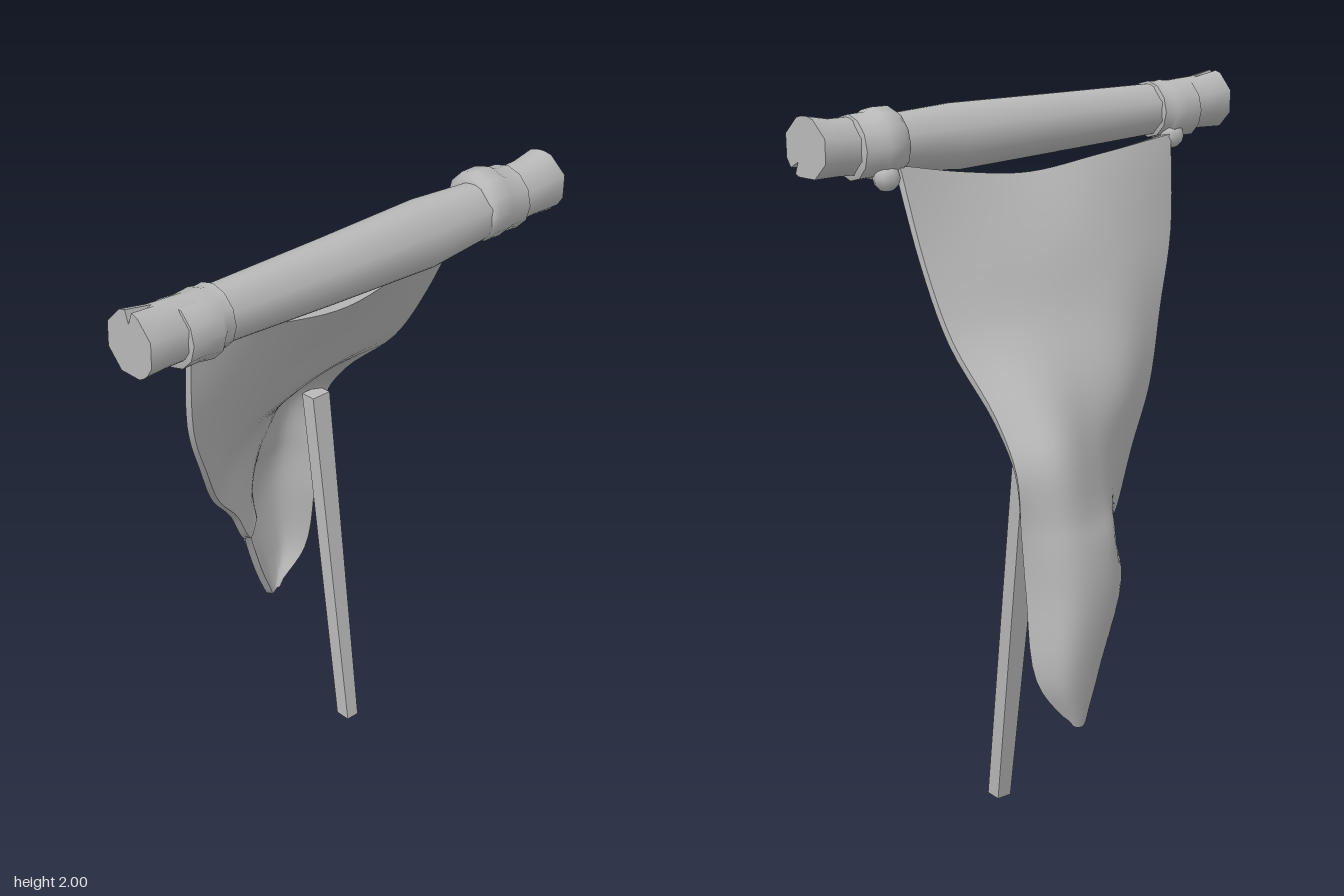
import * as THREE from 'three';
import { toCreasedNormals } from 'three/addons/utils/BufferGeometryUtils.js';

const grey = new THREE.MeshStandardMaterial({ color: 0xb8b8b8 });
grey.name = 'plain grey';

function part(name, geometry) {
  const mesh = new THREE.Mesh(geometry, grey);
  mesh.name = name;
  return mesh;
}

function build(points, index, crease) {
  const g = new THREE.BufferGeometry().setFromPoints(points);
  g.setIndex(index);
  return toCreasedNormals(g, crease);
}

const quad = (index, a, b, c, d) => index.push(a, b, c, a, c, d);

// Solid along x from rings [x, y, z, radius, lean along z, notch angle]
function ringSolid(rings, angles, crease) {
  const points = [], index = [], n = angles.length;
  for (const [x, y, z, r, lean = 0, notch = null] of rings) {
    for (const a of angles) {
      const rad = THREE.MathUtils.degToRad(a), k = a === notch ? r * 0.6 : r;
      points.push(new THREE.Vector3(x + lean * Math.cos(rad) * k, y + Math.sin(rad) * k, z + Math.cos(rad) * k));
    }
  }
  for (let s = 0; s < rings.length - 1; s++) {
    for (let i = 0; i < n; i++) {
      const j = (i + 1) % n;
      quad(index, s * n + i, (s + 1) * n + i, (s + 1) * n + j, s * n + j);
    }
  }
  const last = rings.length - 1, c = points.length;
  for (const s of [0, last]) points.push(new THREE.Vector3(rings[s][0], rings[s][1], rings[s][2]));
  for (let i = 0; i < n; i++) {
    const j = (i + 1) % n;
    index.push(c, i, j, c + 1, last * n + j, last * n + i);
  }
  return build(points, index, crease);
}

// Thick sheet lofted across rails that run from its top to its bottom
function sheet(rails, rows, cols, half) {
  const curves = rails.map(r => new THREE.CatmullRomCurve3(r.map(p => new THREE.Vector3(...p))));
  const across = [];
  for (let i = 0; i <= rows; i++) across.push(new THREE.CatmullRomCurve3(curves.map(c => c.getPoint(i / rows))));
  const grid = across.map(c => Array.from({ length: cols + 1 }, (_, j) => c.getPoint(j / cols)));
  const front = [], back = [], index = [], w = cols + 1, total = (rows + 1) * w;
  for (let i = 0; i <= rows; i++) {
    for (let j = 0; j <= cols; j++) {
      const down = grid[Math.min(i + 1, rows)][j].clone().sub(grid[Math.max(i - 1, 0)][j]);
      const side = grid[i][Math.min(j + 1, cols)].clone().sub(grid[i][Math.max(j - 1, 0)]);
      const normal = down.cross(side).normalize().multiplyScalar(half);
      front.push(grid[i][j].clone().add(normal));
      back.push(grid[i][j].clone().sub(normal));
    }
  }
  const F = (i, j) => i * w + j, B = (i, j) => total + i * w + j;
  for (let i = 0; i < rows; i++) {
    for (let j = 0; j < cols; j++) {
      quad(index, F(i, j), F(i + 1, j), F(i + 1, j + 1), F(i, j + 1));
      quad(index, B(i, j), B(i, j + 1), B(i + 1, j + 1), B(i + 1, j));
    }
    quad(index, F(i, 0), B(i, 0), B(i + 1, 0), F(i + 1, 0));
    quad(index, F(i, cols), F(i + 1, cols), B(i + 1, cols), B(i, cols));
  }
  for (let j = 0; j < cols; j++) {
    quad(index, F(0, j), F(0, j + 1), B(0, j + 1), B(0, j));
    quad(index, F(rows, j), B(rows, j), B(rows, j + 1), F(rows, j + 1));
  }
  return build([...front, ...back], index, 0.9);
}

export function createModel() {
  const model = new THREE.Group();
  model.name = 'hangingHide';

  // Eight-sided crossbar log with a split in each end
  const eight = Array.from({ length: 8 }, (_, i) => 22.5 + i * 45);
  const split = [...eight, 82, 90, 98, 302, 310, 318].sort((a, b) => a - b);
  model.add(part('crossbar', ringSolid([
    [-0.75, 1.91, 0.32, 0.089, 0, 90],
    [-0.67, 1.905, 0.32, 0.081],
    [-0.48, 1.9, 0.32, 0.077],
    [-0.1, 1.894, 0.317, 0.087],
    [0.25, 1.89, 0.311, 0.096],
    [0.45, 1.893, 0.31, 0.082],
    [0.66, 1.9, 0.303, 0.08],
    [0.737, 1.907, 0.303, 0.088, 0.15, 310],
  ], split, 0.9)));

  // Wrapped lashings around the log
  const round = Array.from({ length: 12 }, (_, i) => i * 30);
  model.add(part('rightLashing', ringSolid([
    [-0.628, 1.895, 0.32, 0.074],
    [-0.624, 1.894, 0.32, 0.09],
    [-0.575, 1.893, 0.32, 0.088],
    [-0.525, 1.892, 0.32, 0.094],
    [-0.512, 1.898, 0.32, 0.085],
    [-0.485, 1.9, 0.32, 0.086],
    [-0.48, 1.9, 0.32, 0.072],
  ], round, 0.9)));
  model.add(part('leftLashing', ringSolid([
    [0.45, 1.895, 0.305, 0.076],
    [0.456, 1.897, 0.303, 0.09],
    [0.475, 1.9, 0.298, 0.1],
    [0.53, 1.9, 0.297, 0.101],
    [0.55, 1.897, 0.3, 0.092],
    [0.6, 1.895, 0.302, 0.092],
    [0.606, 1.895, 0.302, 0.074],
  ], round, 0.9)));

  // Knots where the corners of the hide are tied on
  for (const [name, x, y, z] of [['rightKnot', -0.535, 1.822, 0.27], ['leftKnot', 0.52, 1.812, 0.245]]) {
    const knot = part(name, new THREE.SphereGeometry(0.04, 8, 6));
    knot.position.set(x, y, z);
    model.add(knot);
  }

  // Hide: rails from its right edge to its left edge, curling round below the prop
  model.add(part('hide', sheet([
    [[-0.515, 1.83, 0.255], [-0.49, 1.54, 0.225], [-0.385, 1.33, 0.15], [-0.25, 1.13, 0.04], [-0.11, 0.98, -0.045],
      [-0.01, 0.835, -0.1], [0.095, 0.82, -0.19], [0.145, 0.715, -0.28], [0.245, 0.49, -0.34], [0.325, 0.34, -0.372]],
    [[-0.26, 1.79, 0.28], [-0.25, 1.57, 0.19], [-0.17, 1.36, 0.065], [-0.06, 1.17, -0.08], [0.025, 1.02, -0.145],
      [0.08, 0.9, -0.195], [0.13, 0.85, -0.25], [0.165, 0.725, -0.335], [0.28, 0.49, -0.375], [0.333, 0.338, -0.376]],
    [[0, 1.76, 0.29], [0, 1.57, 0.15], [0.06, 1.38, 0.025], [0.14, 1.2, -0.155], [0.2, 1.06, -0.26],
      [0.2, 0.93, -0.31], [0.21, 0.86, -0.35], [0.245, 0.73, -0.387], [0.33, 0.49, -0.395], [0.343, 0.337, -0.38]],
    [[0.25, 1.79, 0.27], [0.25, 1.58, 0.13], [0.28, 1.39, 0], [0.33, 1.22, -0.22], [0.36, 1.1, -0.325],
      [0.36, 0.93, -0.365], [0.365, 0.86, -0.38], [0.37, 0.74, -0.395], [0.4, 0.49, -0.396], [0.355, 0.342, -0.38]],
    [[0.49, 1.84, 0.235], [0.495, 1.58, 0.11], [0.493, 1.39, -0.01], [0.483, 1.21, -0.2], [0.48, 1.08, -0.285],
      [0.468, 0.92, -0.29], [0.463, 0.85, -0.293], [0.458, 0.74, -0.3], [0.45, 0.49, -0.335], [0.367, 0.352, -0.376]],
  ], 45, 24, 0.011)));

  // Leaning prop, wider at the top
  const prop = new THREE.BoxGeometry(1, 1, 1);
  const p = prop.attributes.position;
  for (let i = 0; i < p.count; i++) {
    const t = p.getY(i) + 0.5;
    p.setXYZ(i, 0.378 + 0.042 * t + p.getX(i) * (0.045 + 0.025 * t), 1.11 * t, -0.045 - 0.217 * t + p.getZ(i) * 0.05);
  }
  prop.computeVertexNormals();
  model.add(part('prop', prop));

  return model;
}
